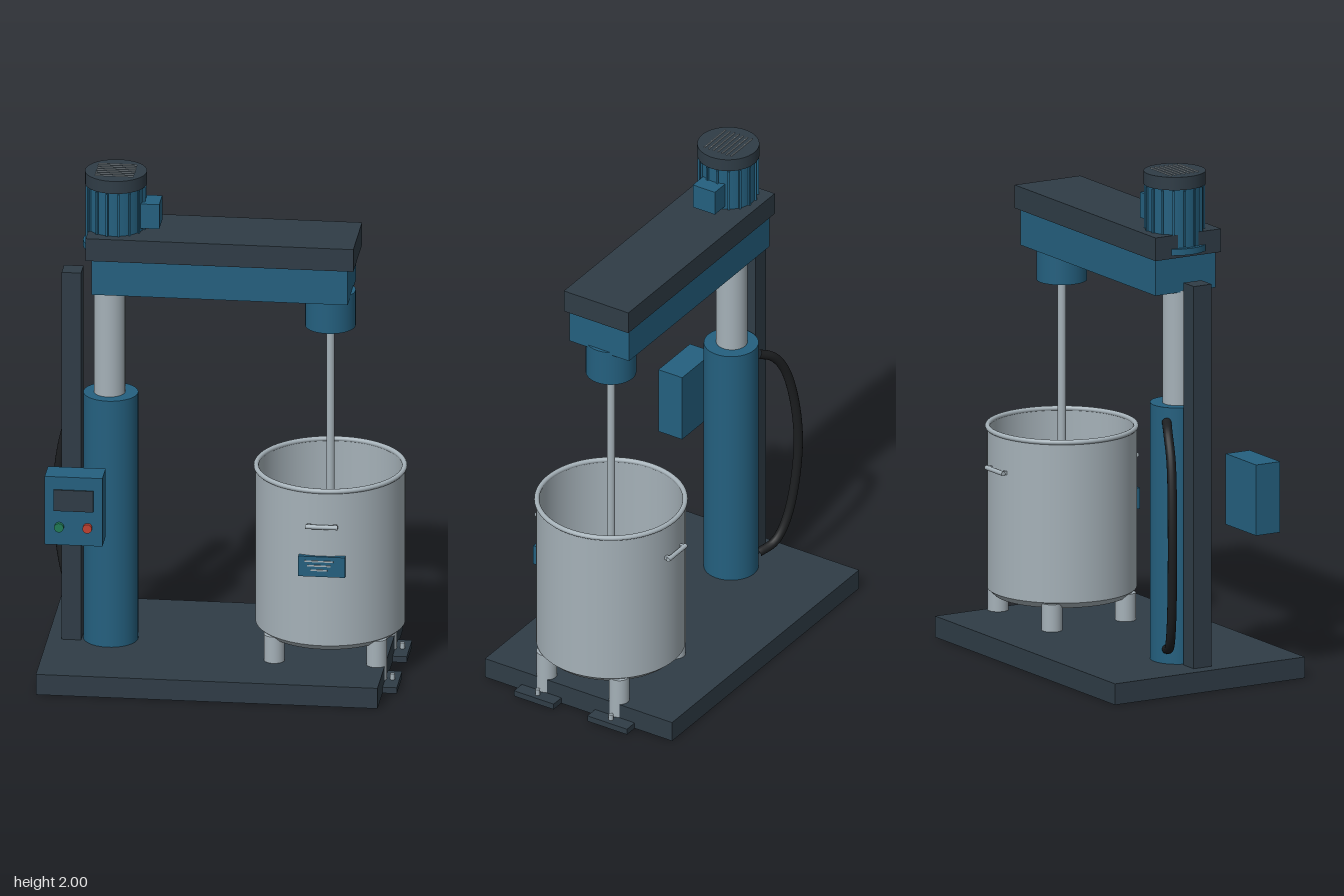
import * as THREE from 'three';

const mat = (color, side = THREE.FrontSide) => new THREE.MeshStandardMaterial({ color, side });

export function createModel() {
  const model = new THREE.Group();
  const blue = mat(0x24607f), dark = mat(0x2f3c46), steel = mat(0xa5b1b8);
  const steelThin = mat(0xa5b1b8, THREE.DoubleSide);
  const black = mat(0x1c1e20), green = mat(0x1f7a55), red = mat(0xc0402f);

  const add = (name, geometry, material, parent = model) => {
    const mesh = new THREE.Mesh(geometry, material);
    mesh.name = name;
    parent.add(mesh);
    return mesh;
  };
  // Box given by its limits on each axis
  const box = (name, m, [x0, x1], [y0, y1], [z0, z1], parent) => {
    const b = add(name, new THREE.BoxGeometry(x1 - x0, y1 - y0, z1 - z0), m, parent);
    b.position.set((x0 + x1) / 2, (y0 + y1) / 2, (z0 + z1) / 2);
    return b;
  };
  // Upright cylinder given by its centre, radius and height limits
  const post = (name, m, x, z, r, y0, y1, parent, sides = 40) => {
    const c = add(name, new THREE.CylinderGeometry(r, r, y1 - y0, sides), m, parent);
    c.position.set(x, (y0 + y1) / 2, z);
    return c;
  };

  // Base and lifting column
  box('base', dark, [-0.69, 0.625], [0, 0.083], [-0.427, 0.425]);
  post('columnSleeve', blue, -0.45, 0, 0.105, 0.083, 1.09);
  post('columnPiston', steel, -0.455, 0, 0.06, 1.09, 1.54);
  box('guideRail', dark, [-0.635, -0.56], [0.083, 1.585], [-0.04, 0.04]);

  // Arm with belt cover and bearing housing
  box('arm', blue, [-0.51, 0.477], [1.535, 1.68], [-0.135, 0.135]);
  box('beltCover', dark, [-0.53, 0.5], [1.677, 1.768], [-0.147, 0.147]);
  post('bearingHousing', blue, 0.395, 0, 0.097, 1.4, 1.545);

  // Motor with cooling ribs, terminal box and slatted fan cover
  const motor = new THREE.Group();
  motor.name = 'motor';
  model.add(motor);
  const mx = -0.43;
  post('motorFlange', blue, mx, 0, 0.126, 1.69, 1.715, motor);
  post('motorBody', blue, mx, 0, 0.11, 1.71, 1.95, motor);
  for (let i = 0; i < 16; i++) {
    const a = (i + 0.5) / 16 * Math.PI * 2;
    const rib = add('motorRib', new THREE.BoxGeometry(0.02, 0.22, 0.008), blue, motor);
    rib.position.set(mx + Math.cos(a) * 0.107, 1.83, Math.sin(a) * 0.107);
    rib.rotation.y = -a;
  }
  post('fanCover', dark, mx, 0, 0.119, 1.945, 1.996, motor);
  for (let i = -3; i <= 3; i++) {
    const z = i * 0.02;
    box('fanSlat', steel, [mx - 0.074, mx + 0.074], [1.99, 2], [z - 0.002, z + 0.002], motor);
  }
  box('terminalBox', blue, [-0.33, -0.258], [1.782, 1.882], [-0.05, 0.05], motor);

  // Mixing shaft and toothed disc
  const vx = 0.395;
  post('mixingShaft', steel, vx, 0, 0.016, 0.28, 1.41, model, 24);
  post('discHub', steel, vx, 0, 0.035, 0.27, 0.32, model, 24);
  post('mixingDisc', steel, vx, 0, 0.145, 0.29, 0.3);
  for (let i = 0; i < 16; i++) {
    const a = i / 16 * Math.PI * 2, s = i % 2 ? -1 : 1;
    const tooth = add('discTooth', new THREE.BoxGeometry(0.03, 0.035, 0.012), steel);
    tooth.position.set(vx + Math.cos(a) * 0.152, 0.295 + s * 0.013, Math.sin(a) * 0.152);
    tooth.rotation.y = -a;
  }

  // Open vessel: each run between hard corners is its own lathe
  const vessel = new THREE.Group();
  vessel.name = 'vessel';
  vessel.position.x = vx;
  model.add(vessel);
  const turned = (name, ...pts) => add(name,
    new THREE.LatheGeometry(pts.map(p => new THREE.Vector2(...p)), 64), steelThin, vessel);
  turned('vesselBottom', [0, 0.17], [0.26, 0.17]);
  turned('vesselChamfer', [0.26, 0.17], [0.287, 0.195]);
  turned('vesselOuterWall', [0.287, 0.195], [0.287, 0.828]);
  turned('vesselInnerWall', [0.277, 0.828], [0.277, 0.2]);
  turned('vesselFloor', [0.277, 0.2], [0, 0.19]);
  const rim = add('vesselRim', new THREE.TorusGeometry(0.284, 0.01, 12, 64), steel, vessel);
  rim.rotation.x = Math.PI / 2;
  rim.position.y = 0.826;

  for (const s of [-1, 1]) {
    // Vessel legs
    for (const t of [-1, 1]) post('vesselLeg', steel, s * 0.197, t * 0.165, 0.04, 0.025, 0.19, vessel, 24);
    // Carrying handles, front and back
    const bar = add('handle', new THREE.CylinderGeometry(0.009, 0.009, 0.124, 16), steel, vessel);
    bar.rotation.z = Math.PI / 2;
    bar.position.set(0, 0.685, s * 0.3);
    for (const t of [-1, 1]) {
      box('handleMount', steel, [t * 0.05 - 0.007, t * 0.05 + 0.007], [0.678, 0.692],
        s > 0 ? [0.278, 0.302] : [-0.302, -0.278], vessel);
    }
    // Anchor feet with bolts beyond the end of the base
    const z = s * 0.167;
    box('anchorFoot', dark, [0.56, 0.68], [0, 0.024], [z - 0.09, z + 0.09]);
    post('anchorBolt', steel, 0.653, z, 0.009, 0.02, 0.048, model, 12);
  }

  // Plate on the vessel with plain raised bars
  box('infoPlate', blue, [-0.09, 0.09], [0.48, 0.562], [0.27, 0.296], vessel);
  [0.055, 0.045, 0.032].forEach((w, i) => {
    const y = 0.543 - i * 0.018;
    box('plateBar', steel, [-w - 0.01, w - 0.01], [y - 0.003, y + 0.003], [0.294, 0.299], vessel);
  });

  // Control box
  const control = new THREE.Group();
  control.name = 'controlBox';
  model.add(control);
  box('controlCase', blue, [-0.667, -0.445], [0.58, 0.858], [0.22, 0.328], control);
  box('controlScreen', dark, [-0.632, -0.48], [0.72, 0.806], [0.325, 0.334], control);
  for (const [name, x, m] of [['startButton', -0.611, green], ['stopButton', -0.502, red]]) {
    const b = add(name, new THREE.CylinderGeometry(0.018, 0.018, 0.02, 24), m, control);
    b.rotation.x = Math.PI / 2;
    b.position.set(x, 0.655, 0.335);
  }

  // Hydraulic hose bowing out behind the column
  const path = new THREE.CatmullRomCurve3([
    [-0.51, 1.035, -0.085], [-0.57, 1.0, -0.115], [-0.63, 0.9, -0.138], [-0.675, 0.6, -0.16],
    [-0.635, 0.27, -0.14], [-0.58, 0.165, -0.115], [-0.51, 0.14, -0.085],
  ].map(p => new THREE.Vector3(...p)));
  add('hose', new THREE.TubeGeometry(path, 60, 0.018, 14), black);

  return model;
}
